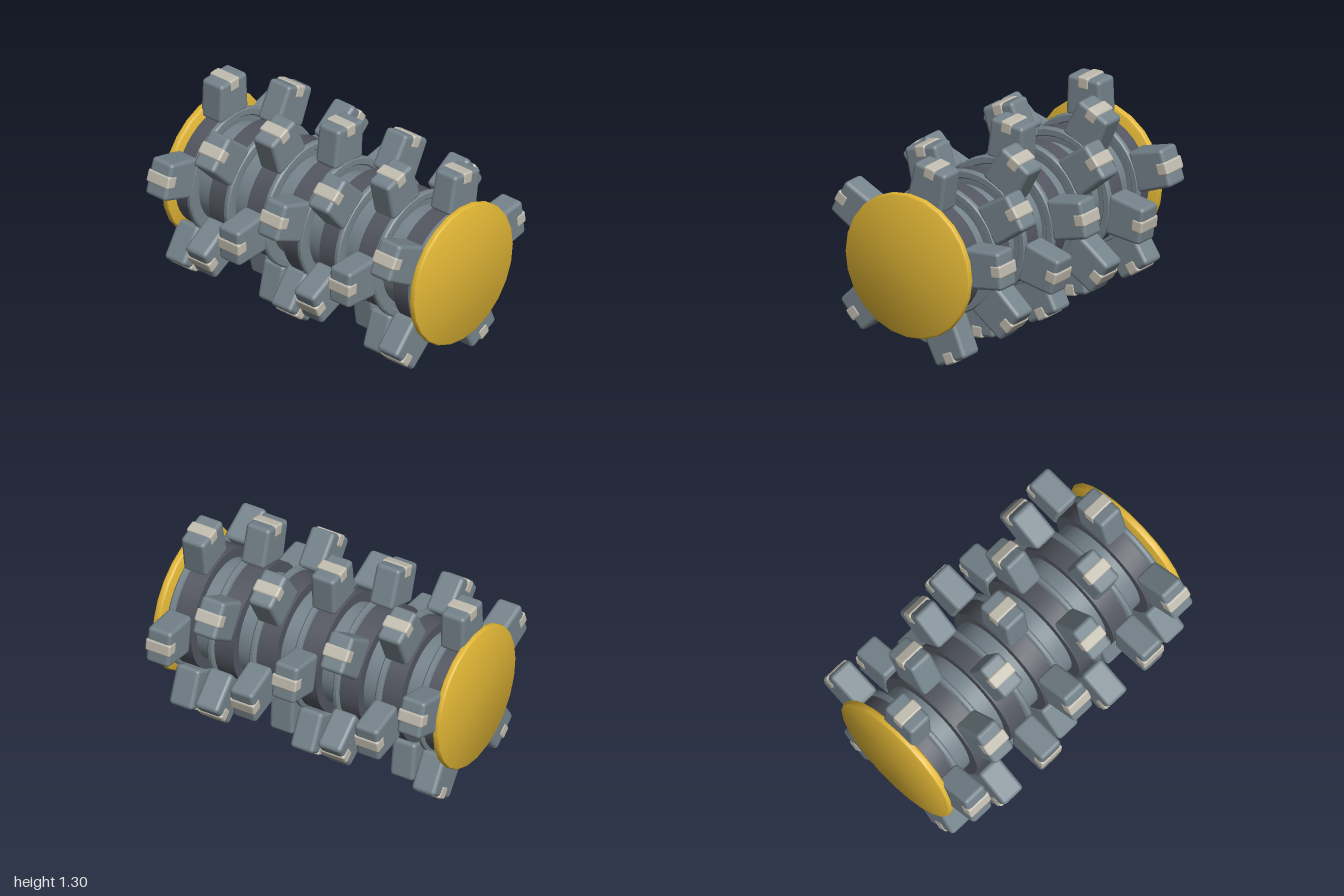
import * as THREE from 'three';
import { RoundedBoxGeometry } from 'three/addons/geometries/RoundedBoxGeometry.js';
import { toCreasedNormals } from 'three/addons/utils/BufferGeometryUtils.js';

const AXIS_Y = 0.655;
const RINGS = 7, TEETH = 5;
const steel = new THREE.MeshStandardMaterial({ color: 0x75838b });
const darkSteel = new THREE.MeshStandardMaterial({ color: 0x535660 });
const yellow = new THREE.MeshStandardMaterial({ color: 0xe0b535 });
const carbide = new THREE.MeshStandardMaterial({ color: 0xc2bdb0 });

// Turned part along x; profile points are [radius, x]
function turned(profile, sides) {
  const geo = new THREE.LatheGeometry(profile.map(([r, x]) => new THREE.Vector2(r, x)), sides);
  geo.rotateZ(-Math.PI / 2);
  return toCreasedNormals(geo, 0.6);
}

function add(parent, name, geo, mat) {
  const mesh = new THREE.Mesh(geo, mat);
  mesh.name = name;
  parent.add(mesh);
  return mesh;
}

// Tooth block, slightly wider at its root
function toothGeometry() {
  const inner = 0.385, outer = 0.643, height = outer - inner;
  const geo = new RoundedBoxGeometry(0.164, height, 0.25, 2, 0.025);
  const p = geo.attributes.position;
  for (let i = 0; i < p.count; i++) p.setZ(i, p.getZ(i) * (1 - 0.1 * (p.getY(i) / height)));
  return geo.translate(0, (inner + outer) / 2, 0);
}

export function createModel() {
  const model = new THREE.Group();
  const roller = new THREE.Group();
  roller.name = 'roller';
  roller.position.y = AXIS_Y;
  model.add(roller);

  // Central drum
  add(roller, 'drum', turned([[0, -0.96], [0.32, -0.96], [0.32, 0.96], [0, 0.96]], 48), steel);

  // End caps with rounded rims
  const capGeo = turned([[0, -0.025], [0.445, -0.025], [0.455, -0.019], [0.46, -0.008],
    [0.46, 0.008], [0.455, 0.019], [0.445, 0.025], [0, 0.025]], 24);
  for (const side of [-1, 1]) {
    add(roller, side > 0 ? 'leftEndCap' : 'rightEndCap', capGeo, yellow).position.x = side * 0.975;
  }

  const hubGeo = turned([[0.3, -0.085], [0.385, -0.085], [0.385, 0.06], [0.3, 0.06]], 40);
  const flangeGeo = turned([[0.34, 0.045], [0.395, 0.045], [0.41, 0.055], [0.41, 0.075],
    [0.4, 0.085], [0.365, 0.085], [0.355, 0.075], [0.34, 0.075], [0.3, 0.07]], 40);
  const toothGeo = toothGeometry();
  const tipGeo = new RoundedBoxGeometry(0.172, 0.08, 0.082, 2, 0.014).translate(0, 0.611, 0);

  // Cutter rings, each turned a little further to form a spiral
  for (let i = 0; i < RINGS; i++) {
    const ring = new THREE.Group();
    ring.name = 'cutterRing';
    ring.position.x = -0.89 + 0.29 * i;
    roller.add(ring);
    add(ring, 'hub', hubGeo, darkSteel);
    add(ring, 'flange', flangeGeo, steel);
    for (let k = 0; k < TEETH; k++) {
      const tooth = new THREE.Group();
      tooth.name = 'cutterTooth';
      tooth.rotation.x = THREE.MathUtils.degToRad(90 - (18 + 25.8 * i + 72 * k));
      add(tooth, 'toothBlock', toothGeo, steel);
      add(tooth, 'toothTip', tipGeo, carbide);
      ring.add(tooth);
    }
  }
  return model;
}
